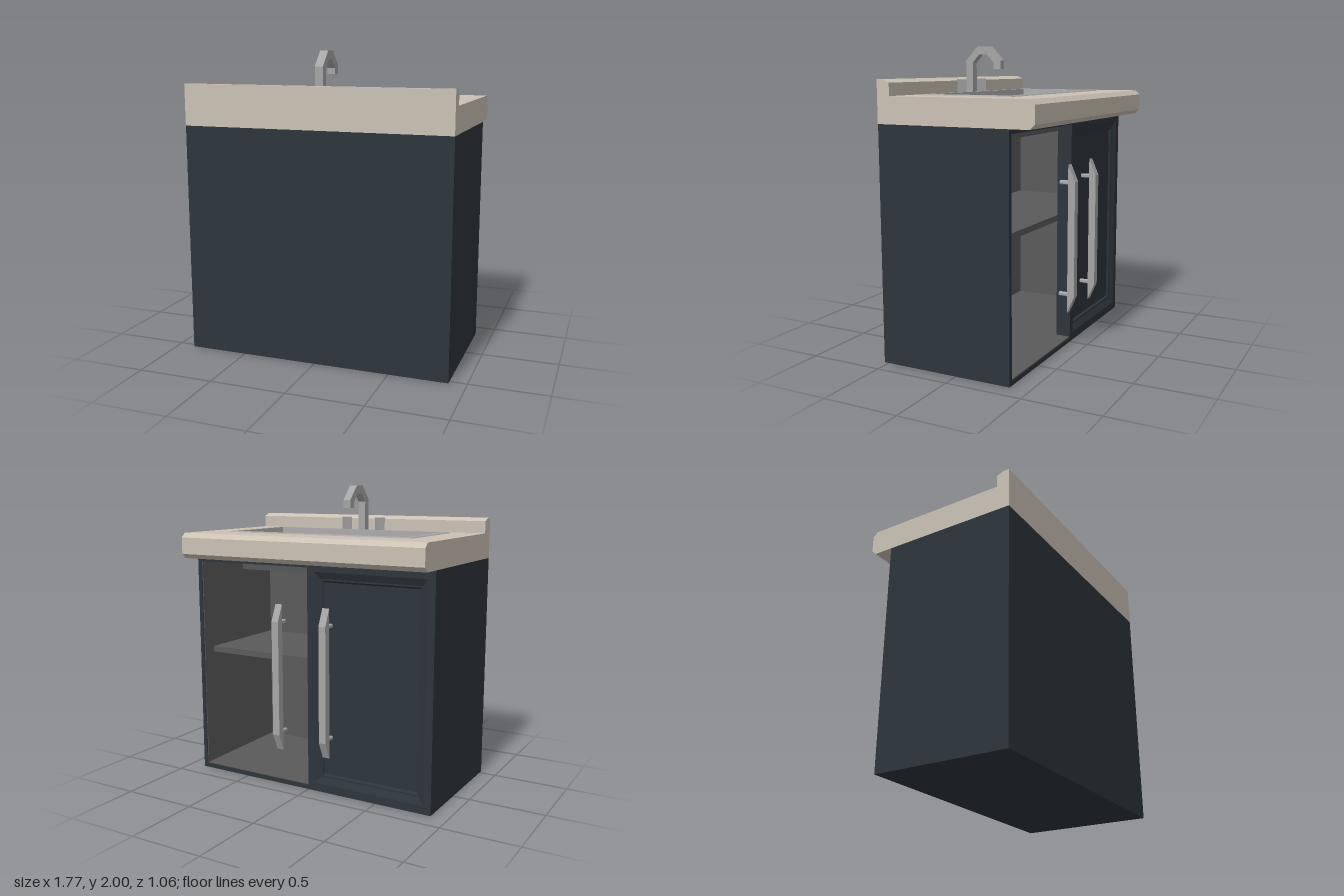
import * as THREE from 'three';

const mat = (name, color) => {
  const m = new THREE.MeshStandardMaterial({ color });
  m.name = name;
  return m;
};

// Rectangular rings [u0, u1, v0, v1, w] joined one after the other, facing +w and outward
function ringLoft(rings, capStart, capEnd) {
  const pos = [];
  const corners = rings.map(([a, b, c, d, w]) => [[a, c, w], [b, c, w], [b, d, w], [a, d, w]]);
  const quad = (a, b, c, d) => pos.push(...a, ...b, ...c, ...a, ...c, ...d);
  for (let r = 0; r < corners.length - 1; r++) {
    for (let i = 0; i < 4; i++) {
      const j = (i + 1) % 4;
      quad(corners[r][i], corners[r][j], corners[r + 1][j], corners[r + 1][i]);
    }
  }
  const first = corners[0], last = corners[corners.length - 1];
  if (capStart) quad(first[3], first[2], first[1], first[0]);
  if (capEnd) quad(...last);
  const g = new THREE.BufferGeometry();
  g.setAttribute('position', new THREE.Float32BufferAttribute(pos, 3));
  g.computeVertexNormals();
  return g;
}

// Profile of [z, y] points extruded along x, centred on x = cx
function sideProfile(points, width, cx = 0) {
  const shape = new THREE.Shape(points.map(([z, y]) => new THREE.Vector2(-z, y)));
  const g = new THREE.ExtrudeGeometry(shape, { depth: width, bevelEnabled: false });
  return g.translate(0, 0, -width / 2).rotateY(Math.PI / 2).translate(cx, 0, 0);
}

function faceted(g) {
  const f = g.toNonIndexed();
  f.computeVertexNormals();
  return f;
}

export function createModel() {
  const root = new THREE.Group();
  root.name = 'sinkCabinet';
  const slate = mat('slate paint', 0x2d353c);
  const stone = mat('beige stone', 0xcbc2b4);
  const steel = mat('brushed steel', 0xa6a6a6);
  const liner = mat('dark grey interior', 0x5a5a5a);
  const plastic = mat('cream pipe', 0xdcd1bb);

  const add = (name, g, m, parent = root) => {
    const mesh = new THREE.Mesh(g, m);
    mesh.name = name;
    parent.add(mesh);
    return mesh;
  };
  const box = (name, m, x0, x1, y0, y1, z0, z1, parent) => add(name,
    new THREE.BoxGeometry(x1 - x0, y1 - y0, z1 - z0)
      .translate((x0 + x1) / 2, (y0 + y1) / 2, (z0 + z1) / 2), m, parent);
  const rod = (name, m, a, b, r, sides, parent) => {
    const A = new THREE.Vector3(...a), B = new THREE.Vector3(...b);
    const mesh = add(name, faceted(new THREE.CylinderGeometry(r, r, A.distanceTo(B), sides)), m, parent);
    mesh.position.copy(A).add(B).multiplyScalar(0.5);
    mesh.quaternion.setFromUnitVectors(new THREE.Vector3(0, 1, 0), B.sub(A).normalize());
    return mesh;
  };

  // Cabinet shell with a thin grey lining
  const W = 0.887, T = 0.03, H = 1.52;
  box('cabinetBottom', slate, -W, W, 0, T, -0.37, 0.53);
  box('cabinetBack', slate, -W, W, T, H, 0.45, 0.53);
  box('cabinetTopRail', slate, 0, W - T, H - T, H, -0.37, -0.33);
  box('floorLining', liner, -W + T, W - T, T, T + 0.005, -0.365, 0.45);
  box('backLining', liner, -W + T, W - T, T, H, 0.443, 0.45);
  for (const s of [-1, 1]) {
    const span = (a, b) => [Math.min(s * a, s * b), Math.max(s * a, s * b)];
    box('cabinetSide', slate, ...span(W - T, W), T, H, -0.37, 0.45);
    box('sideLining', liner, ...span(W - T - 0.005, W - T), T, H - T, s > 0 ? -0.365 : -0.27, 0.443);
  }
  box('shelf', liner, -W + T, W - T, 0.835, 0.875, -0.27, 0.443);

  // Closed door with a recessed panel
  const inset = (d, w) => [d, W - d, d * 1.1, H - d * 1.1, w];
  const door = add('door', ringLoft([
    inset(0, 0.27), inset(0, 0.37), inset(0.05, 0.37), inset(0.09, 0.35),
    inset(0.1, 0.35), inset(0.11, 0.335),
  ], true, true), slate);
  door.rotation.y = Math.PI;

  // Long bar handles on two posts
  for (const x of [-0.177, 0.177]) {
    const handle = new THREE.Group();
    handle.name = 'handle';
    root.add(handle);
    add('handleBar', sideProfile([[-0.435, 0.27], [-0.435, 1.25], [-0.483, 1.14], [-0.483, 0.38]], 0.05, x), steel, handle);
    for (const y of [0.39, 1.13]) rod('handlePost', steel, [x, y, -0.37], [x, y, -0.44], 0.015, 6, handle);
  }

  // Worktop around the sink opening, with an upstand along the rear edge
  const counter = new THREE.Group();
  counter.name = 'worktop';
  root.add(counter);
  add('worktopEdge', sideProfile([[-0.24, 1.52], [-0.24, 1.69], [-0.5, 1.69], [-0.532, 1.66],
    [-0.532, 1.55], [-0.5, 1.52]], 2 * W, 0), stone, counter);
  add('worktopUpstand', sideProfile([[0.532, 1.52], [0.532, 1.79], [0.49, 1.79], [0.443, 1.77],
    [0.443, 1.69], [0.305, 1.69], [0.305, 1.52]], 2 * W, 0), stone, counter);
  box('worktopSide', stone, -W, -0.635, 1.52, 1.69, -0.24, 0.305, counter);
  box('worktopSide', stone, 0.635, W, 1.52, 1.69, -0.24, 0.305, counter);

  // Sink: raised rim, steep walls, sloped floor (v runs along -z)
  const sink = add('sinkBasin', ringLoft([
    [-0.685, 0.685, -0.345, 0.28, 1.688],
    [-0.675, 0.675, -0.337, 0.272, 1.697],
    [-0.635, 0.635, -0.305, 0.24, 1.697],
    [-0.603, 0.603, -0.284, 0.217, 1.47],
    [-0.48, 0.48, -0.24, 0.178, 1.45],
  ], false, true), steel);
  sink.rotation.x = -Math.PI / 2;
  const shell = add('sinkUnderside', ringLoft([
    [-0.61, 0.61, -0.29, 0.225, 1.435],
    [-0.634, 0.634, -0.304, 0.239, 1.6],
  ], true, false), liner);
  shell.rotation.x = -Math.PI / 2;

  // Drain and waste pipe
  rod('drain', plastic, [0, 1.44, 0.17], [0, 1.465, 0.17], 0.055, 8);
  const path = [[0, 1.45, 0.17], [0, 1.32, 0.17], [0, 1.18, 0.4], [0, 0.03, 0.4]];
  for (let i = 0; i < 3; i++) rod('wastePipe', plastic, path[i], path[i + 1], 0.045, 8);

  // Faucet with an angular spout, and two diamond taps
  add('faucetSpout', sideProfile([
    [0.415, 1.69], [0.415, 1.905], [0.325, 2], [0.238, 2], [0.147, 1.905], [0.147, 1.85],
    [0.2, 1.85], [0.2, 1.89], [0.252, 1.947], [0.312, 1.947], [0.363, 1.89], [0.363, 1.69],
  ], 0.054), steel);
  for (const x of [-0.132, 0.132]) rod('tap', steel, [x, 1.69, 0.387], [x, 1.78, 0.387], 0.038, 4);

  return root;
}
